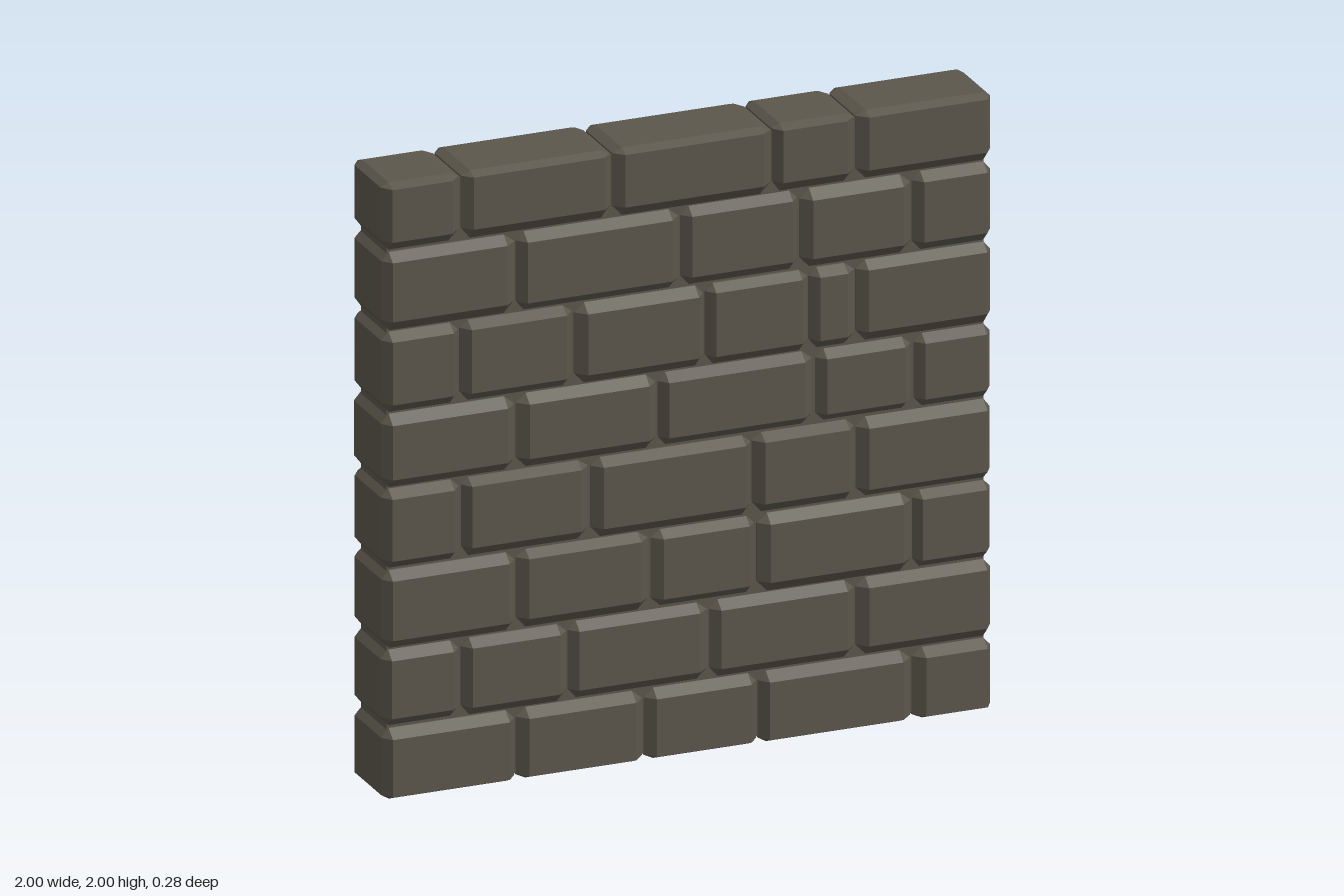
import * as THREE from 'three';
import { ConvexGeometry } from 'three/addons/geometries/ConvexGeometry.js';

// seeded generator for the small irregularities of the stones
let seed = 7;
function rnd(a, b) {
  seed = (seed * 16807) % 2147483647;
  return a + (b - a) * (seed / 2147483647);
}

// box with bevelled edges; lo/hi are its corners, cutLo/cutHi the bevel on each side
function bevelledBlock(lo, hi, cutLo, cutHi) {
  const points = [];
  for (let corner = 0; corner < 8; corner++) {
    const upper = [corner & 1, corner & 2, corner & 4];
    for (let full = 0; full < 3; full++) {
      const p = [0, 1, 2].map((a) => {
        const cut = a === full ? 0 : upper[a] ? cutHi[a] : cutLo[a];
        return upper[a] ? hi[a] - cut : lo[a] + cut;
      });
      points.push(new THREE.Vector3(...p));
    }
  }
  return new ConvexGeometry(points);
}

export function createModel() {
  const wall = new THREE.Group();
  wall.name = 'stoneWall';
  const stone = new THREE.MeshStandardMaterial({ color: 0x5b564b });
  stone.name = 'greyBrown stone';

  // mortar core, seen only in the joints
  const core = new THREE.Mesh(new THREE.BoxGeometry(1.96, 1.96, 0.2), stone);
  core.position.y = 1;
  core.name = 'mortarCore';
  wall.add(core);

  // heights of the courses and the vertical joints in each
  const levels = [0, 0.232, 0.487, 0.745, 1.008, 1.252, 1.518, 1.778, 2];
  const joints = [
    [-0.56, -0.14, 0.235, 0.74],
    [-0.74, -0.39, 0.075, 0.555],
    [-0.56, -0.12, 0.23, 0.74],
    [-0.74, -0.315, 0.215, 0.555],
    [-0.56, -0.095, 0.42, 0.745],
    [-0.745, -0.37, 0.06, 0.4, 0.555],
    [-0.56, -0.02, 0.37, 0.74],
    [-0.74, -0.245, 0.28, 0.555],
  ];

  joints.forEach((row, r) => {
    const course = new THREE.Group();
    course.name = `course${r + 1}`;
    const xs = [-1, ...row, 1];
    for (let i = 0; i < xs.length - 1; i++) {
      const first = i === 0;
      const last = i === xs.length - 2;
      const lo = [xs[i] + (first ? 0 : 0.003), levels[r] + (r ? 0.003 : 0), -rnd(0.134, 0.141)];
      const hi = [xs[i + 1] - (last ? 0 : 0.003), levels[r + 1] - (r < 7 ? 0.003 : 0), rnd(0.13, 0.138)];
      const cutLo = [first ? 0.025 : rnd(0.024, 0.034), r ? rnd(0.03, 0.036) : 0.015, rnd(0.03, 0.036)];
      const cutHi = [last ? 0.022 : rnd(0.026, 0.036), r < 7 ? rnd(0.022, 0.03) : 0.014, rnd(0.03, 0.036)];
      const block = new THREE.Mesh(bevelledBlock(lo, hi, cutLo, cutHi), stone);
      block.name = `block${r + 1}_${i + 1}`;
      course.add(block);
    }
    wall.add(course);
  });
  return wall;
}
